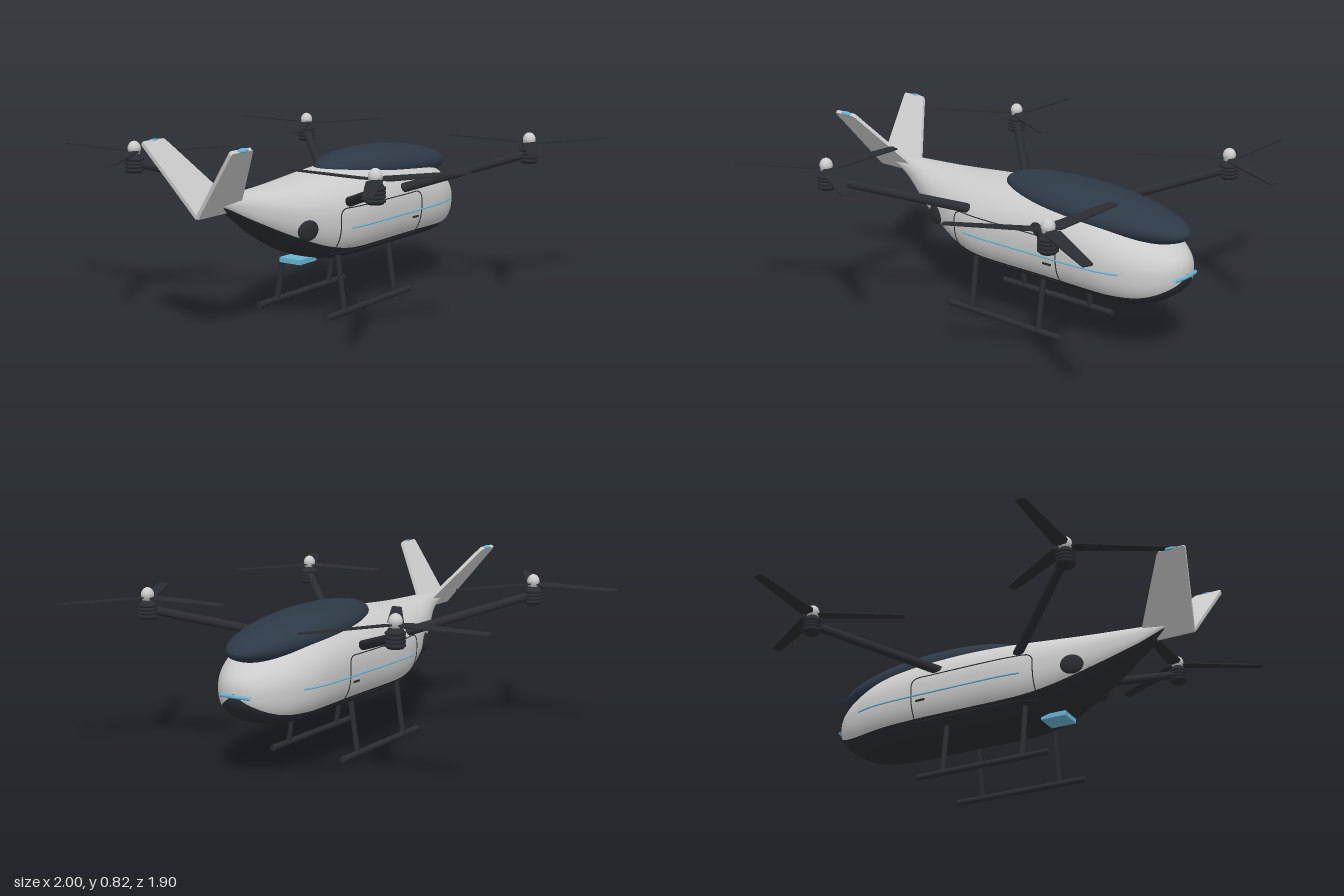
import * as THREE from 'three';

const mat = (color) => new THREE.MeshStandardMaterial({ color, side: THREE.DoubleSide });
const grey = mat(0xcccccc), dark = mat(0x2a2d31), glass = mat(0x2d3946), cyan = mat(0x69b4d4);

// Fuselage stations: x, bottom y, top y, half width
const stations = [
  [-0.832, 0.565, 0.57, 0], [-0.825, 0.553, 0.577, 0.034], [-0.77, 0.524, 0.586, 0.042],
  [-0.7, 0.48, 0.591, 0.06], [-0.6, 0.418, 0.592, 0.102], [-0.5, 0.36, 0.593, 0.142],
  [-0.4, 0.308, 0.597, 0.176], [-0.3, 0.264, 0.603, 0.206], [-0.2, 0.236, 0.61, 0.228],
  [-0.1, 0.225, 0.618, 0.238], [0.05, 0.222, 0.627, 0.24], [0.2, 0.222, 0.63, 0.24],
  [0.35, 0.222, 0.625, 0.24], [0.5, 0.222, 0.605, 0.236], [0.6, 0.223, 0.58, 0.221],
  [0.7, 0.236, 0.54, 0.186], [0.77, 0.265, 0.503, 0.143], [0.82, 0.305, 0.466, 0.094],
  [0.845, 0.343, 0.432, 0.047], [0.853, 0.388, 0.392, 0],
];
const spline = (f) => new THREE.CatmullRomCurve3(stations.map(f), false, 'catmullrom', 0.5);
const heights = spline(([x, b, t]) => new THREE.Vector3(x, b, t));
const widths = spline(([x, , , w]) => new THREE.Vector3(x, w, 0));
const section = (u) => {
  const h = heights.getPoint(u);
  return { x: h.x, mid: (h.y + h.z) / 2, h: Math.max(0, h.z - h.y) / 2, w: Math.max(0, widths.getPoint(u).y) };
};
const power = (dy) => (dy > 0 ? 2.2 : 2.6);

// Half width of the fuselage at a given x and y
function sideZ(x, y) {
  let a = 0, b = 1;
  for (let i = 0; i < 30; i++) {
    const m = (a + b) / 2;
    if (section(m).x < x) a = m; else b = m;
  }
  const s = section(a), n = power(y - s.mid);
  const k = Math.min(1, Math.abs(y - s.mid) / s.h);
  return s.w * Math.pow(1 - Math.pow(k, n), 1 / n);
}

// Skin of the fuselage between two angles of its cross-section
function hullSkin(a0, a1, cols) {
  const rows = 110, pos = [], idx = [];
  for (let i = 0; i <= rows; i++) {
    const s = section(i / rows);
    for (let j = 0; j <= cols; j++) {
      const a = a0 + (a1 - a0) * j / cols, c = Math.cos(a), sn = Math.sin(a), e = 2 / power(sn);
      pos.push(s.x, s.mid + s.h * Math.sign(sn) * Math.abs(sn) ** e, s.w * Math.sign(c) * Math.abs(c) ** e);
      if (i < rows && j < cols) {
        const p = i * (cols + 1) + j, q = p + cols + 1;
        idx.push(p, q, q + 1, p, q + 1, p + 1);
      }
    }
  }
  const g = new THREE.BufferGeometry();
  g.setAttribute('position', new THREE.Float32BufferAttribute(pos, 3));
  g.setIndex(idx);
  g.computeVertexNormals();
  return g;
}

function add(parent, name, geometry, material, x = 0, y = 0, z = 0) {
  const m = new THREE.Mesh(geometry, material);
  m.name = name;
  m.position.set(x, y, z);
  parent.add(m);
  return m;
}

// Cylinder between two points
function rod(parent, name, a, b, r0, r1, material) {
  const p = new THREE.Vector3(...a), d = new THREE.Vector3(...b).sub(p);
  const m = add(parent, name, new THREE.CylinderGeometry(r1, r0, d.length(), 20), material);
  m.position.copy(p).addScaledVector(d, 0.5);
  m.quaternion.setFromUnitVectors(new THREE.Vector3(0, 1, 0), d.normalize());
  return m;
}

const lathe = (pts) => new THREE.LatheGeometry(pts.map((p) => new THREE.Vector2(...p)), 32);

function plate(points, depth) {
  const g = new THREE.ExtrudeGeometry(new THREE.Shape(points.map((p) => new THREE.Vector2(...p))), { depth, bevelEnabled: false });
  return g.translate(0, 0, -depth / 2);
}

// Line that follows the side of the hull
function hullLine(parent, name, points, side, radius, material, closed = false) {
  const path = new THREE.CatmullRomCurve3(points.map(([x, y]) => new THREE.Vector3(x, y, side * (sideZ(x, y) + 0.0005))), closed);
  add(parent, name, new THREE.TubeGeometry(path, points.length * 3, radius, 8, closed), material);
}

function createRotor() {
  const rotor = new THREE.Group();
  rotor.name = 'rotor';
  // Ribbed motor
  const profile = [[0, 0.606], [0.032, 0.606]];
  for (let i = 0; i < 4; i++) {
    const y = 0.612 + i * 0.016;
    profile.push([0.036, y], [0.042, y + 0.003], [0.042, y + 0.011], [0.036, y + 0.014]);
  }
  profile.push([0.03, 0.684], [0.02, 0.695], [0, 0.695]);
  add(rotor, 'motor', lathe(profile), dark);
  // Rounded hub cap
  const cap = [[0, 0.686], [0.024, 0.686]];
  for (let i = 0; i <= 10; i++) {
    const a = i / 10 * Math.PI / 2;
    cap.push([0.029 * Math.cos(a), 0.712 + 0.034 * Math.sin(a)]);
  }
  add(rotor, 'hubCap', lathe(cap), grey);
  // Three tapered blades with a little pitch
  for (let i = 0; i < 3; i++) {
    const arm = new THREE.Group();
    arm.name = 'bladeMount';
    arm.position.y = 0.701;
    arm.rotation.y = Math.PI / 2 + i * Math.PI * 2 / 3;
    const blade = plate([[0.02, -0.012], [0.045, -0.033], [0.41, -0.021], [0.413, 0.015], [0.405, 0.02], [0.045, 0.033], [0.02, 0.012]], 0.006);
    add(arm, 'blade', blade, dark).rotation.x = -Math.PI / 2 + 0.1;
    rotor.add(arm);
  }
  return rotor;
}

export function createModel() {
  const model = new THREE.Group();
  model.name = 'aircraft';
  const craft = new THREE.Group();
  craft.name = 'airframe';
  craft.position.z = 0.092;
  model.add(craft);

  // Hull and belly
  const split = 0.607;
  add(craft, 'fuselage', hullSkin(-split, Math.PI + split, 64), grey);
  add(craft, 'belly', hullSkin(Math.PI + split, 2 * Math.PI - split, 32), dark);

  // Canopy, tilted down towards the nose
  const canopy = add(craft, 'canopy', new THREE.SphereGeometry(1, 64, 40), glass, 0.37, 0.582, 0);
  canopy.scale.set(0.482, 0.09, 0.175);
  canopy.rotation.z = -0.072;

  // Nose light and belly light
  const nose = [-0.075, -0.04, 0, 0.04, 0.075].map((z) => new THREE.Vector3(0.853 - 2.2 * z * z, 0.377 - 0.6 * z * z, z));
  add(craft, 'noseLight', new THREE.TubeGeometry(new THREE.CatmullRomCurve3(nose), 24, 0.008, 8), cyan);
  add(craft, 'bellyLight', new THREE.BoxGeometry(0.12, 0.022, 0.11), cyan, -0.28, 0.242, 0);

  // Side door outline with rounded upper corners
  const door = [];
  const corners = [[-0.225, 0.445, Math.PI, 0.035], [0.31, 0.445, Math.PI / 2, 0.035], [0.335, 0.29, 0, 0.01], [-0.25, 0.29, -Math.PI / 2, 0.01]];
  corners.forEach(([cx, cy, a0, r], k) => {
    for (let i = 0; i <= 4; i++) {
      const a = a0 - i / 4 * Math.PI / 2;
      door.push([cx + r * Math.cos(a), cy + r * Math.sin(a)]);
    }
    const [x, y] = door[door.length - 1], next = corners[(k + 1) % 4];
    const ex = next[0] + next[3] * Math.cos(next[2]), ey = next[1] + next[3] * Math.sin(next[2]);
    for (let i = 1; i < 8; i++) door.push([x + (ex - x) * i / 8, y + (ey - y) * i / 8]);
  });
  const stripe = Array.from({ length: 18 }, (_, i) => [-0.2 + i * 0.05, 0.392]);

  for (const s of [1, -1]) {
    hullLine(craft, 'doorSeam', door, s, 0.0025, dark, true);
    hullLine(craft, 'sideStripe', stripe, s, 0.004, cyan);
    add(craft, 'doorHandle', new THREE.BoxGeometry(0.045, 0.008, 0.012), dark, 0.297, 0.365, s * sideZ(0.297, 0.365));

    // Side air intake
    const intake = add(craft, 'airIntake', new THREE.SphereGeometry(1, 32, 20), dark, -0.425, 0.412, s * (sideZ(-0.425, 0.412) - 0.002));
    intake.scale.set(0.052, 0.046, 0.018);
    intake.rotation.y = s * -0.3;

    // V-tail fin: planform in x and height, leaning outwards
    const lean = Math.atan2(0.23, 0.29);
    const fin = new THREE.Group();
    fin.name = 'tailFin';
    fin.position.y = 0.525;
    fin.rotation.x = s * lean;
    add(fin, 'finPanel', plate([[-0.94, 0], [-0.68, 0], [-0.87, 0.36], [-0.88, 0.37], [-0.995, 0.37], [-1, 0.36]], 0.016), grey);
    add(fin, 'finLight', new THREE.SphereGeometry(1, 20, 12), cyan, -0.93, 0.37, 0).scale.set(0.032, 0.007, 0.011);
    craft.add(fin);

    // Booms and rotors, fore and aft
    for (const [x0, x1] of [[0.2, 0.632], [-0.18, -0.625]]) {
      rod(craft, 'boom', [x0, 0.5, s * 0.2], [x1, 0.65, s * 0.63], 0.022, 0.019, dark);
      const rotor = createRotor();
      rotor.position.set(x1, 0, s * 0.63);
      craft.add(rotor);
    }

    // Landing skid and its struts
    rod(craft, 'skid', [-0.32, 0.014, s * 0.185], [0.33, 0.014, s * 0.185], 0.014, 0.014, dark);
    for (const x of [-0.19, 0.205]) {
      rod(craft, 'skidStrut', [x, 0.014, s * 0.185], [x, 0.27, s * 0.146], 0.012, 0.012, dark);
    }
  }
  return model;
}
